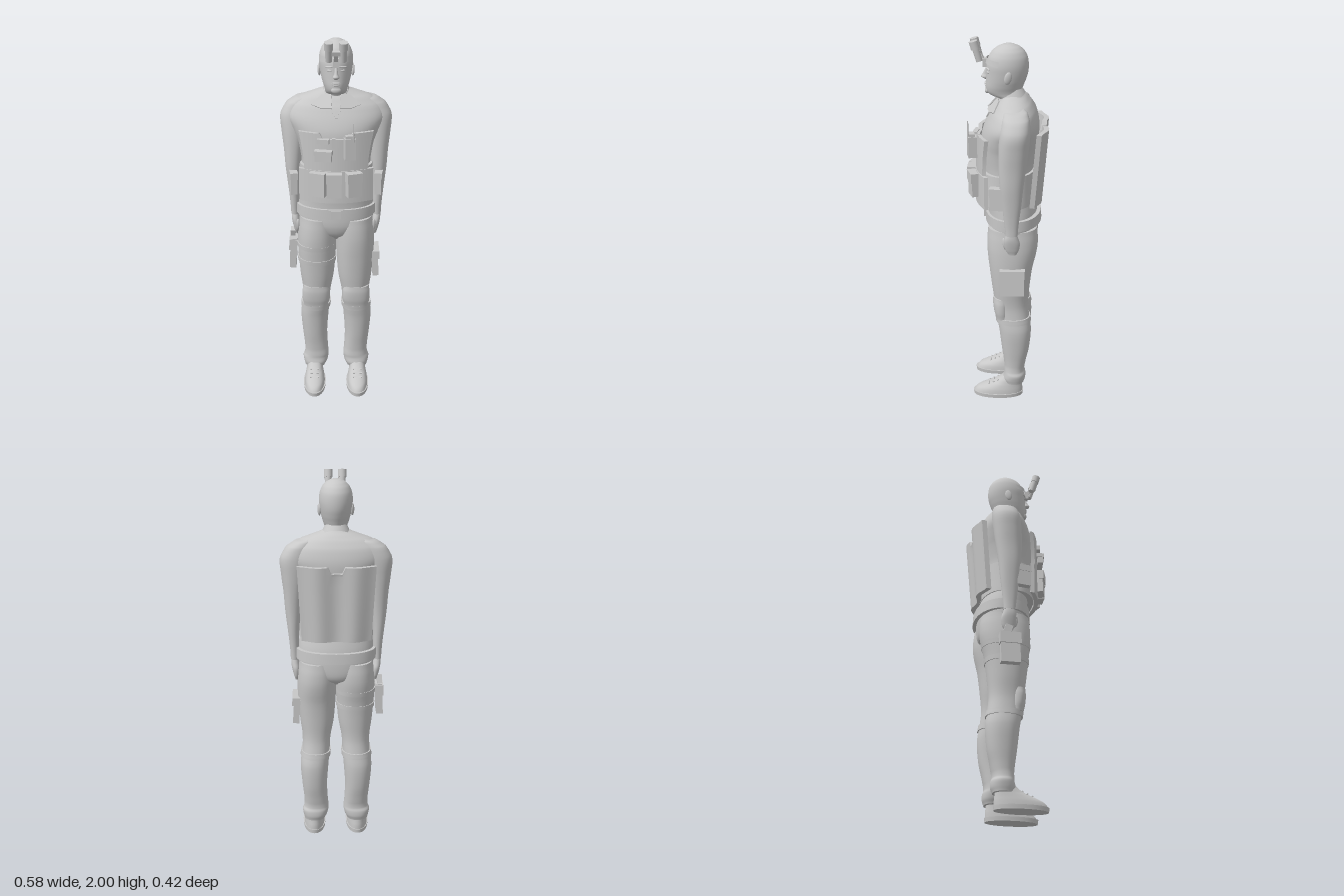
import * as THREE from 'three';

const grey = new THREE.MeshStandardMaterial({ color: 0xc8c8c8, side: THREE.DoubleSide });
grey.name = 'plain grey';

export function createModel() {
  const root = new THREE.Group();
  root.name = 'equippedFigure';

  const add = (name, geo, x = 0, y = 0, z = 0, rx = 0, ry = 0, rz = 0) => {
    const m = new THREE.Mesh(geo, grey);
    m.name = name;
    m.position.set(x, y, z);
    m.rotation.set(rx, ry, rz);
    root.add(m);
    return m;
  };
  const box = (name, w, h, d, ...at) => add(name, new THREE.BoxGeometry(w, h, d), ...at);
  const ball = (name, rx, ry, rz, ...at) =>
    add(name, new THREE.SphereGeometry(1, 20, 14).scale(rx, ry, rz), ...at);

  // Smooth body through rings [y, xMin, xMax, zMin, zMax], listed upwards
  function loft(name, rings, { steps = 4, power = 2.2, side = 1, n = 36 } = {}) {
    const at = (i) => rings[Math.max(0, Math.min(rings.length - 1, i))];
    const rows = [];
    for (let i = 0; i < rings.length - 1; i++) {
      for (let s = 0; s < steps; s++) {
        const t = s / steps;
        rows.push(at(i).map((b, k) => {
          const a = at(i - 1)[k], c = at(i + 1)[k], d = at(i + 2)[k];
          if (k === 0) return b + (c - b) * t;
          return b + 0.5 * t * (c - a + t * (2 * a - 5 * b + 4 * c - d + t * (3 * (b - c) + d - a)));
        }));
      }
    }
    rows.push(rings[rings.length - 1]);
    const pos = [], idx = [];
    const ring = ([y, x0, x1, z0, z1]) => {
      for (let j = 0; j < n; j++) {
        const t = (j / n) * Math.PI * 2, s = Math.sin(t), c = Math.cos(t);
        const r = (v) => Math.sign(v) * Math.abs(v) ** (2 / power);
        pos.push(side * (x0 + x1) / 2 + r(s) * (x1 - x0) / 2, y, (z0 + z1) / 2 + r(c) * (z1 - z0) / 2);
      }
    };
    rows.forEach(ring);
    for (let i = 0; i < rows.length - 1; i++) {
      for (let j = 0; j < n; j++) {
        const a = i * n + j, b = i * n + (j + 1) % n;
        idx.push(a, b, b + n, a, b + n, a + n);
      }
    }
    // Flat end caps
    [rows[0], rows[rows.length - 1]].forEach((row, top) => {
      const base = pos.length / 3;
      ring(row);
      pos.push(side * (row[1] + row[2]) / 2, row[0], (row[3] + row[4]) / 2);
      for (let j = 0; j < n; j++) {
        const a = base + j, b = base + (j + 1) % n;
        if (top) idx.push(a, b, base + n); else idx.push(b, a, base + n);
      }
    });
    const g = new THREE.BufferGeometry();
    g.setAttribute('position', new THREE.Float32BufferAttribute(pos, 3));
    g.setIndex(idx);
    g.computeVertexNormals();
    return add(name, g);
  }

  // Move every vertex of a geometry by a rule
  function warp(g, rule) {
    const p = g.attributes.position, v = new THREE.Vector3();
    for (let i = 0; i < p.count; i++) {
      rule(v.fromBufferAttribute(p, i));
      p.setXYZ(i, v.x, v.y, v.z);
    }
    g.computeVertexNormals();
    return g;
  }
  const panel = (name, w, h, d, y, rule) =>
    add(name, warp(new THREE.BoxGeometry(w, h, d, 28, 8, 1).translate(0, y, 0), rule));

  // Torso with broad shoulders, and hips
  loft('torso', [
    [0.9, -0.05, 0.05, -0.09, 0.03], [0.94, -0.14, 0.14, -0.15, 0.08], [1.0, -0.195, 0.195, -0.163, 0.099],
    [1.1, -0.198, 0.198, -0.16, 0.1], [1.2, -0.185, 0.185, -0.14, 0.11], [1.35, -0.18, 0.18, -0.14, 0.125],
    [1.45, -0.2, 0.2, -0.155, 0.132], [1.52, -0.23, 0.23, -0.165, 0.128], [1.58, -0.255, 0.255, -0.165, 0.108],
    [1.64, -0.235, 0.235, -0.15, 0.078], [1.68, -0.18, 0.18, -0.125, 0.05], [1.705, -0.11, 0.11, -0.1, 0.03],
    [1.725, -0.06, 0.06, -0.075, 0.02]], { power: 2.1 });

  // Head with neck
  loft('head', [
    [1.62, -0.06, 0.06, -0.08, 0.04], [1.7, -0.056, 0.056, -0.072, 0.04], [1.717, -0.056, 0.056, -0.072, 0.085],
    [1.735, -0.059, 0.059, -0.074, 0.104], [1.76, -0.067, 0.067, -0.082, 0.108], [1.79, -0.075, 0.075, -0.094, 0.106],
    [1.83, -0.082, 0.082, -0.106, 0.104], [1.87, -0.086, 0.086, -0.109, 0.102], [1.91, -0.081, 0.081, -0.104, 0.092],
    [1.94, -0.068, 0.068, -0.088, 0.073], [1.96, -0.049, 0.049, -0.066, 0.048], [1.972, -0.026, 0.026, -0.038, 0.02],
    [1.976, -0.004, 0.004, -0.012, -0.004]], { power: 2 });
  loft('nose', [[1.795, -0.01, 0.01, 0.09, 0.11], [1.806, -0.017, 0.017, 0.09, 0.13],
    [1.822, -0.01, 0.01, 0.09, 0.122], [1.86, -0.007, 0.007, 0.085, 0.104]], { n: 16 });
  ball('upperLip', 0.022, 0.005, 0.008, 0, 1.776, 0.105);
  ball('lowerLip', 0.018, 0.006, 0.008, 0, 1.766, 0.104);
  ball('chin', 0.025, 0.017, 0.012, 0, 1.738, 0.1);
  for (const s of [-1, 1]) {
    ball('eye', 0.013, 0.005, 0.006, s * 0.033, 1.837, 0.093, 0, s * 0.4);
    ball('brow', 0.022, 0.004, 0.006, s * 0.035, 1.856, 0.093, 0, s * 0.4, -s * 0.1);
    ball('ear', 0.009, 0.032, 0.019, s * 0.084, 1.82, -0.008, -0.2, s * 0.2);
  }

  // Forehead strap and flip-up binocular
  const strap = new THREE.CylinderGeometry(0.088, 0.09, 0.028, 32, 1, true, -1.15, 2.3).scale(1, 1, 1.25);
  add('headStrap', strap, 0, 1.88, -0.006, -0.12);
  box('goggleMount', 0.03, 0.045, 0.02, 0, 1.88, 0.112);
  box('goggleArm', 0.02, 0.05, 0.014, 0, 1.912, 0.128, 0.5);
  box('goggleBridge', 0.06, 0.022, 0.02, 0, 1.935, 0.147, 0.28);
  for (const s of [-1, 1]) {
    add('goggleTube', new THREE.CylinderGeometry(0.019, 0.016, 0.1, 20), s * 0.036, 1.942, 0.149, 0.28);
    add('goggleLensRim', new THREE.CylinderGeometry(0.022, 0.022, 0.04, 20), s * 0.036, 1.974, 0.16, 0.28);
  }

  // Shirt collar: open at the front, dropping forwards, with pointed flaps
  const collar = new THREE.CylinderGeometry(0.062, 0.085, 0.05, 36, 2, true, 0.4, Math.PI * 2 - 0.8);
  add('collar', warp(collar, (v) => { v.y -= v.z * 0.6; }), 0, 1.702, -0.008);
  for (const s of [-1, 1]) {
    const flap = new THREE.Shape([[0.025, 0.045], [0.075, 0.045], [0.125, -0.005], [0.075, -0.03], [0.02, -0.035]]
      .map(([x, y]) => new THREE.Vector2(s * x, y)));
    add('collarFlap', new THREE.ExtrudeGeometry(flap, { depth: 0.006, bevelEnabled: false }),
      0, 1.672, 0.075, -0.7, s * 0.2);
    box('shirtOpening', 0.006, 0.06, 0.006, s * 0.014, 1.62, 0.09, -0.5, 0, -s * 0.4);
  }

  for (const side of [-1, 1]) {
    const o = { side };
    // Arms and hands
    loft('arm', [
      [1.03, 0.198, 0.24, -0.062, 0.0], [1.1, 0.195, 0.244, -0.068, 0.008], [1.2, 0.192, 0.254, -0.08, 0.018],
      [1.3, 0.18, 0.265, -0.09, 0.03], [1.4, 0.168, 0.272, -0.103, 0.035], [1.5, 0.15, 0.283, -0.115, 0.035],
      [1.58, 0.13, 0.287, -0.122, 0.03], [1.64, 0.12, 0.255, -0.118, 0.02], [1.67, 0.11, 0.21, -0.106, 0.01],
      [1.683, 0.11, 0.16, -0.09, -0.01]], o);
    loft('hand', [
      [0.915, 0.2, 0.218, -0.055, -0.015], [0.94, 0.193, 0.225, -0.068, 0.0], [0.98, 0.19, 0.234, -0.074, 0.008],
      [1.01, 0.195, 0.238, -0.066, 0.005], [1.05, 0.203, 0.236, -0.055, -0.008]], { side, n: 20 });
    ball('thumb', 0.011, 0.034, 0.011, side * 0.202, 0.975, 0.006, 0.15);
    // Trouser legs
    loft('leg', [
      [0.085, 0.062, 0.176, -0.098, 0.01], [0.11, 0.05, 0.182, -0.106, 0.018], [0.14, 0.043, 0.186, -0.106, 0.012],
      [0.16, 0.042, 0.178, -0.1, 0.012], [0.2, 0.046, 0.176, -0.105, 0.012], [0.3, 0.05, 0.186, -0.125, 0.024],
      [0.42, 0.042, 0.195, -0.135, 0.038], [0.5, 0.035, 0.186, -0.125, 0.052], [0.58, 0.03, 0.182, -0.117, 0.062],
      [0.68, 0.012, 0.194, -0.125, 0.076], [0.8, 0.002, 0.204, -0.14, 0.09], [0.9, -0.002, 0.206, -0.162, 0.1],
      [0.97, -0.004, 0.202, -0.166, 0.1], [1.03, -0.004, 0.195, -0.16, 0.095]], o);
    // Knee pads with their strap
    loft('kneePad', [[0.5, 0.045, 0.178, -0.02, 0.058], [0.54, 0.036, 0.184, -0.02, 0.067],
      [0.59, 0.036, 0.184, -0.02, 0.072], [0.625, 0.045, 0.178, -0.02, 0.07]], o);
    loft('kneeStrap', [[0.475, 0.03, 0.195, -0.135, 0.056], [0.505, 0.028, 0.192, -0.131, 0.06]], o);
    // Shoes
    loft('shoeSole', [[0, 0.06, 0.182, -0.092, 0.182], [0.022, 0.058, 0.184, -0.094, 0.185]], { side, power: 2.1 });
    loft('shoeUpper', [[0.02, 0.064, 0.178, -0.09, 0.178], [0.045, 0.067, 0.175, -0.09, 0.16],
      [0.065, 0.072, 0.17, -0.088, 0.118], [0.085, 0.077, 0.165, -0.086, 0.068], [0.12, 0.08, 0.16, -0.084, 0.02]], o);
    for (let i = 0; i < 3; i++) box('shoeLace', 0.05, 0.006, 0.008, side * 0.121, 0.072 + i * 0.011, 0.096 - i * 0.024, 0.5);
    // Pouches beside the waist
    box('waistPouch', 0.034, 0.11, 0.075, side * 0.222, 1.23, 0.042, 0, -side * 0.15);
    box('waistPouchFlap', 0.04, 0.035, 0.08, side * 0.222, 1.275, 0.042, 0, -side * 0.15);
  }

  // Belt and buckle
  loft('belt', [[1.045, -0.212, 0.212, -0.183, 0.112], [1.1, -0.212, 0.212, -0.18, 0.112]], { steps: 1 });
  box('buckle', 0.052, 0.042, 0.014, 0, 1.073, 0.114);

  // Vest: curved front, wavy back plate and waist wrap
  const curve = (x) => 0.15 - 1.5 * x * x;
  panel('vestFront', 0.38, 0.37, 0.02, 1.345, (v) => {
    const t = (v.y - 1.16) / 0.37;
    if (t > 0.99 && Math.abs(v.x) < 0.08) v.y -= 0.03;
    v.x *= 1 - 0.14 * Math.sin(Math.PI * t);
    v.z += curve(v.x);
  });
  panel('vestBack', 0.4, 0.4, 0.026, 1.365, (v) => {
    const t = (v.y - 1.165) / 0.4;
    if (t > 0.99 && Math.abs(v.x) < 0.03) v.y -= 0.035;
    v.z += -0.153 - 0.032 * t - 0.022 * Math.sin(Math.PI * Math.abs(v.x) / 0.2) ** 2 + 0.5 * v.x * v.x;
    v.x *= 1 - 0.1 * (1 - t);
  });
  loft('waistWrap', [[1.16, -0.197, 0.197, -0.15, 0.135], [1.24, -0.194, 0.194, -0.15, 0.142],
    [1.335, -0.19, 0.19, -0.15, 0.14]], { power: 2.3 });
  panel('vestLowerBand', 0.38, 0.175, 0.02, 1.247, (v) => { v.z += curve(v.x) + 0.004; });

  // Magazine pouches follow the vest curve
  const pouch = (x, y, w, h, d, tilt = 2.6) => {
    const g = new THREE.Group();
    g.name = 'chestPouch';
    g.position.set(x, y, curve(x) + 0.012 + d / 2);
    g.rotation.y = Math.atan(tilt * x);
    const body = box('pouchBody', w, h, d);
    const flap = box('pouchFlap', w + 0.006, h * 0.4, d + 0.01, 0, h * 0.32, 0.001);
    g.add(body, flap);
    root.add(g);
  };
  pouch(-0.092, 1.265, 0.078, 0.125, 0.034, 4);
  pouch(-0.01, 1.265, 0.074, 0.125, 0.038);
  pouch(0.09, 1.265, 0.074, 0.125, 0.038, 4);
  pouch(-0.064, 1.42, 0.085, 0.055, 0.03);
  box('smallClip', 0.06, 0.025, 0.025, -0.065, 1.493, 0.16, 0, -0.2);
  box('vestTab', 0.016, 0.05, 0.02, -0.012, 1.485, 0.163);

  // Radio with antenna
  box('radio', 0.055, 0.11, 0.045, 0.068, 1.46, 0.176, 0, 0.2);
  box('radioTop', 0.045, 0.02, 0.03, 0.068, 1.52, 0.178, 0, 0.2);
  add('antenna', new THREE.CylinderGeometry(0.003, 0.004, 0.1, 8), 0.086, 1.55, 0.195);

  // Left thigh pouch
  box('thighPouch', 0.034, 0.13, 0.125, 0.212, 0.745, -0.034, 0, 0, 0.06);
  box('thighPouchFlap', 0.042, 0.045, 0.132, 0.214, 0.803, -0.034, 0, 0, 0.06);

  // Right thigh holster, grip and straps
  box('holster', 0.036, 0.17, 0.1, -0.23, 0.81, -0.03, 0, 0, -0.04);
  box('holsterFlap', 0.044, 0.06, 0.11, -0.23, 0.86, -0.03, 0, 0, -0.04);
  box('holsterGrip', 0.025, 0.07, 0.04, -0.232, 0.9, -0.045, 0.3);
  loft('thighStrap', [[0.765, -0.207, 0.001, -0.139, 0.09], [0.79, -0.208, 0.001, -0.142, 0.093]], { steps: 1 });
  loft('thighStrap', [[0.85, -0.21, 0.001, -0.154, 0.098], [0.875, -0.211, 0.001, -0.159, 0.101]], { steps: 1 });

  return root;
}
